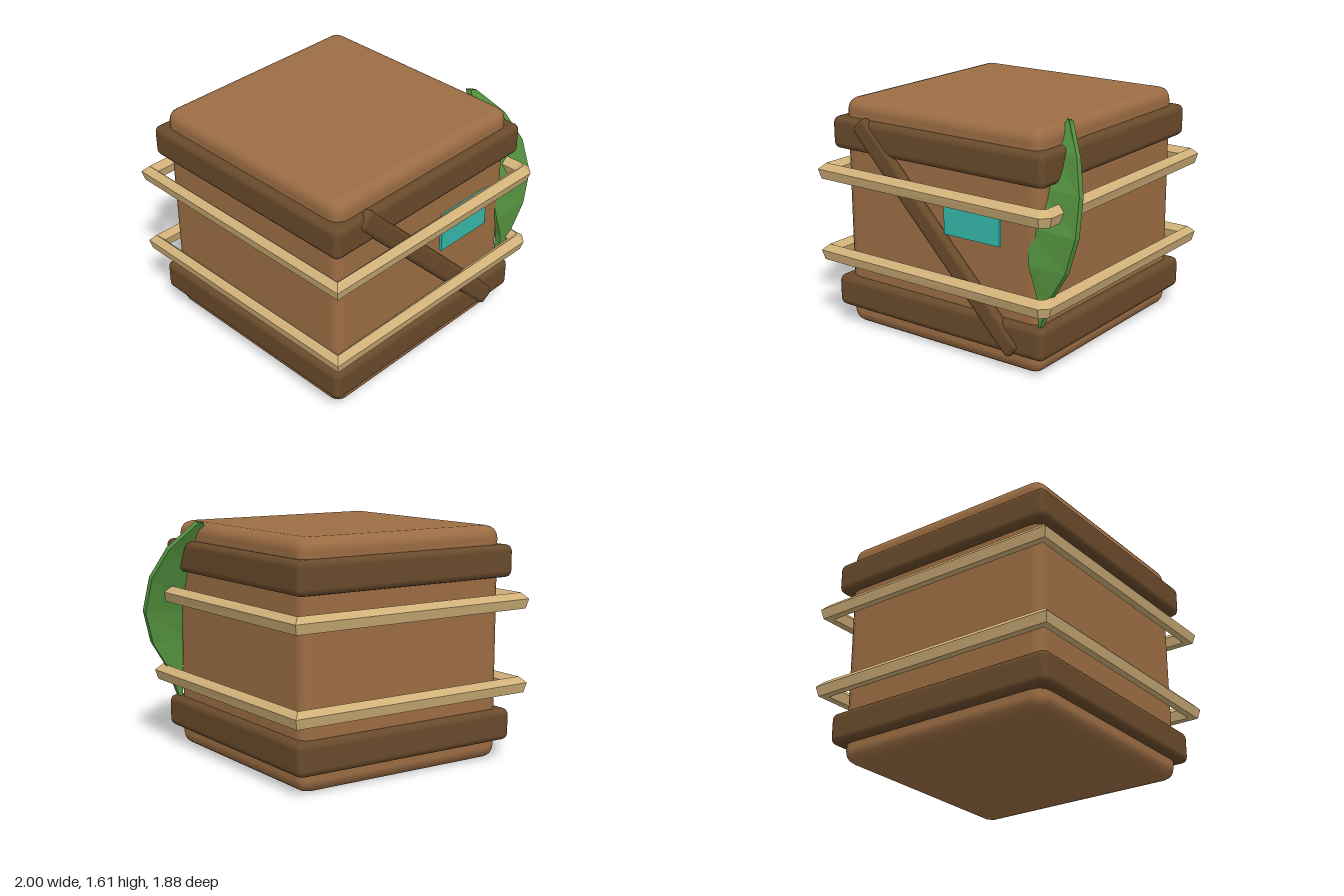
import * as THREE from 'three';
import { RoundedBoxGeometry } from 'three/addons/geometries/RoundedBoxGeometry.js';

const mat = (name, color, extra = {}) => {
  const m = new THREE.MeshStandardMaterial({ color, ...extra });
  m.name = name;
  return m;
};

// Skin a list of rings (each a loop of [x, y, z]) into a faceted surface.
function skin(rings, closed) {
  const pos = [];
  const n = rings[0].length;
  const rows = closed ? rings.length : rings.length - 1;
  for (let i = 0; i < rows; i++) {
    const top = rings[i], low = rings[(i + 1) % rings.length];
    for (let k = 0; k < n; k++) {
      const j = (k + 1) % n;
      pos.push(...top[k], ...low[k], ...low[j], ...top[k], ...low[j], ...top[j]);
    }
  }
  const g = new THREE.BufferGeometry();
  g.setAttribute('position', new THREE.Float32BufferAttribute(pos, 3));
  g.computeVertexNormals();
  return g;
}

// Five-sided rope around the crate; sections turn at the corners unscaled.
function ropeLoop(y) {
  const d = Math.SQRT1_2, r = 0.06;
  const corners = [ // x, z, outward x, outward z
    [-0.957, -0.905, -d, -d],
    [0.827, -0.905, d, -d],
    [0.828, 0.85, 0.92, 0.39],
    [0.8, 0.88, 0.39, 0.92],
    [-0.957, 0.877, -d, d],
  ];
  return skin(corners.map(([x, z, ox, oz]) => {
    const ring = [];
    for (let k = 0; k < 5; k++) {
      const a = Math.PI / 2 - k * Math.PI * 0.4;
      const u = r * Math.cos(a);
      ring.push([x + u * ox, y + r * Math.sin(a), z + u * oz]);
    }
    return ring;
  }), true);
}

// Curved leaf blade, from tip to stem.
function leafBlade() {
  const rows = [ // y, left x, right x, left z, right z
    [1.61, 0.71, 0.74, 0.47, 0.49],
    [1.43, 0.67, 0.89, 0.57, 0.63],
    [1.22, 0.64, 0.98, 0.67, 0.73],
    [0.98, 0.63, 1.0, 0.765, 0.8],
    [0.75, 0.66, 0.94, 0.805, 0.815],
    [0.57, 0.72, 0.83, 0.805, 0.81],
    [0.34, 0.73, 0.745, 0.79, 0.8],
  ];
  const t = 0.045;
  return skin(rows.map(([y, l, r, zl, zr]) => [
    [l, y, zl], [r, y, zr], [r, y - 0.01, zr - t], [l, y - 0.01, zl - t],
  ]), false);
}

export function createModel() {
  const wood = mat('crate wood', 0x9c6d44);
  const darkWood = mat('dark wood', 0x694a2b);
  const rope = mat('rope', 0xd2b27a, { flatShading: true });
  const green = mat('leaf green', 0x54923f, { flatShading: true, side: THREE.DoubleSide });
  const teal = mat('teal label', 0x35b8ac);

  const model = new THREE.Group();
  model.name = 'crate';
  const add = (name, geometry, material, x = 0, y = 0, z = 0) => {
    const m = new THREE.Mesh(geometry, material);
    m.name = name;
    m.position.set(x, y, z);
    model.add(m);
    return m;
  };

  // Crate body
  add('body', new RoundedBoxGeometry(1.6, 1.595, 1.6, 2, 0.085), wood, -0.067, 0.8, -0.012);

  // Bands around the top and bottom
  for (const [name, y] of [['lowerBand', 0.24], ['upperBand', 1.36]]) {
    add(name, new RoundedBoxGeometry(1.72, 0.22, 1.71, 2, 0.045), darkWood, -0.067, y, -0.012);
  }

  // Diagonal brace across the front
  const brace = add('diagonalBrace', new RoundedBoxGeometry(1.82, 0.14, 0.075, 2, 0.035),
    darkWood, -0.062, 0.8, 0.819);
  brace.rotation.z = -Math.atan2(1.24, 1.2);

  // Label on the front
  add('label', new THREE.BoxGeometry(0.44, 0.28, 0.02), teal, 0.25, 0.975, 0.835);

  // Rope loops
  add('lowerRope', ropeLoop(0.515), rope);
  add('upperRope', ropeLoop(1.09), rope);

  // Leaf at the front left corner
  add('leaf', leafBlade(), green);

  return model;
}
